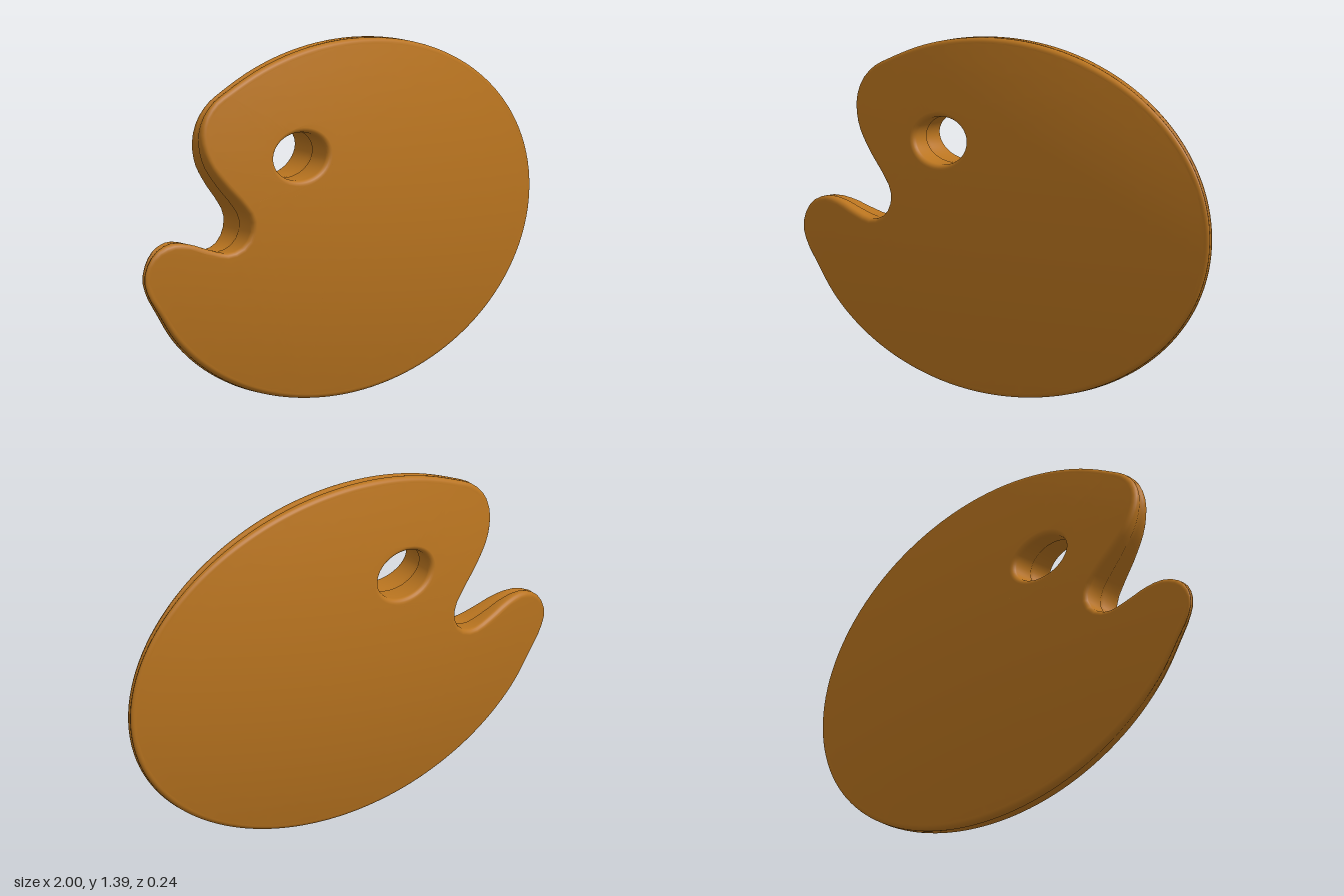
import * as THREE from 'three';
import { mergeVertices } from 'three/addons/utils/BufferGeometryUtils.js';

const CY = 0.695; // height of the board's centre

// Half thickness of the lens-shaped board
const halfThickness = (x, y) => Math.max(0.014, 0.12 - 0.108 * x * x - 0.18 * (y - CY) ** 2);

// Closed outline, counter-clockwise: big oval, then the thumb notch on the left
function outlinePoints() {
  const pts = [];
  for (let i = 0; i <= 28; i++) {
    const a = THREE.MathUtils.degToRad(-158 + (283 * i) / 28);
    pts.push(new THREE.Vector2(Math.cos(a), CY + CY * Math.sin(a)));
  }
  const notch = [
    [-0.65, 1.225], [-0.705, 1.165], [-0.724, 1.09], [-0.70, 0.995], [-0.63, 0.9], [-0.555, 0.82],
    [-0.513, 0.76], [-0.515, 0.705], [-0.55, 0.662], [-0.615, 0.642], [-0.70, 0.663], [-0.79, 0.695],
    [-0.87, 0.705], [-0.94, 0.682], [-0.985, 0.632], [-1.0, 0.575], [-0.982, 0.515],
  ];
  notch.forEach(([x, y]) => pts.push(new THREE.Vector2(x, y)));
  const curve = new THREE.CatmullRomCurve3(pts.map(p => new THREE.Vector3(p.x, p.y, 0)), true);
  return curve.getSpacedPoints(160).slice(0, -1).map(p => new THREE.Vector2(p.x, p.y));
}

// Finger hole, clockwise so that the wood lies left of the path
function holePoints() {
  const pts = [];
  for (let i = 0; i < 48; i++) {
    const a = (-i / 48) * Math.PI * 2;
    pts.push(new THREE.Vector2(-0.262 + 0.132 * Math.cos(a), 0.978 + 0.092 * Math.sin(a)));
  }
  return pts;
}

// Unit directions from each loop point into the wood
function inwardNormals(loop) {
  const n = loop.length;
  return loop.map((_, i) => {
    const t = loop[(i + 1) % n].clone().sub(loop[(i + n - 1) % n]).normalize();
    return new THREE.Vector2(-t.y, t.x);
  });
}

// Split every edge longer than max at its middle, so the face can bulge
function subdivide(tri, max, out) {
  const len = [0, 1, 2].map(i => tri[i].distanceTo(tri[(i + 1) % 3]));
  const k = len.indexOf(Math.max(...len));
  if (len[k] <= max) {
    out.push(tri);
    return;
  }
  const [a, b, c] = [tri[k], tri[(k + 1) % 3], tri[(k + 2) % 3]];
  const mid = a.clone().add(b).multiplyScalar(0.5);
  subdivide([a, mid, c], max, out);
  subdivide([mid, b, c], max, out);
}

function boardGeometry() {
  const INSET = 0.02;
  const pos = [];
  const loops = [outlinePoints(), holePoints()];
  const normals = loops.map(inwardNormals);
  const capLoops = loops.map((loop, l) => loop.map((p, i) => p.clone().addScaledVector(normals[l][i], INSET)));

  // Bulging front and back faces
  const all = capLoops.flat();
  const tris = [];
  THREE.ShapeUtils.triangulateShape(capLoops[0], [capLoops[1]])
    .forEach(f => subdivide(f.map(i => all[i]), 0.07, tris));
  for (const [a, b, c] of tris) {
    for (const p of [a, b, c]) pos.push(p.x, p.y, halfThickness(p.x, p.y));
    for (const p of [a, c, b]) pos.push(p.x, p.y, -halfThickness(p.x, p.y));
  }

  // Rounded rims with a fine seam groove in the middle
  loops.forEach((loop, l) => {
    const rings = loop.map((p, i) => {
      const cap = capLoops[l][i];
      const h = halfThickness(cap.x, cap.y);
      const r = Math.min(0.02, h * 0.6);
      const half = [];
      for (let s = 0; s <= 5; s++) {
        const a = (s / 5) * Math.PI / 2;
        half.push([INSET * (1 - Math.sin(a)), h - r * (1 - Math.cos(a))]);
      }
      half.push([0, Math.min(0.008, h * 0.3)]);
      const profile = [...half, [0.007, 0], ...half.map(([d, z]) => [d, -z]).reverse()];
      return profile.map(([d, z]) => {
        const q = p.clone().addScaledVector(normals[l][i], d);
        return [q.x, q.y, z];
      });
    });
    rings.forEach((A, i) => {
      const B = rings[(i + 1) % rings.length];
      for (let j = 0; j < A.length - 1; j++) {
        pos.push(...A[j], ...A[j + 1], ...B[j], ...B[j], ...A[j + 1], ...B[j + 1]);
      }
    });
  });

  const geo = new THREE.BufferGeometry();
  geo.setAttribute('position', new THREE.Float32BufferAttribute(pos, 3));
  const merged = mergeVertices(geo, 1e-5);
  merged.computeVertexNormals();
  return merged;
}

export function createModel() {
  const wood = new THREE.MeshStandardMaterial({ color: 0xb9741f });
  wood.name = 'warm wood';
  const board = new THREE.Mesh(boardGeometry(), wood);
  board.name = 'paletteBoard';
  const group = new THREE.Group();
  group.name = 'paintPalette';
  group.add(board);
  return group;
}
